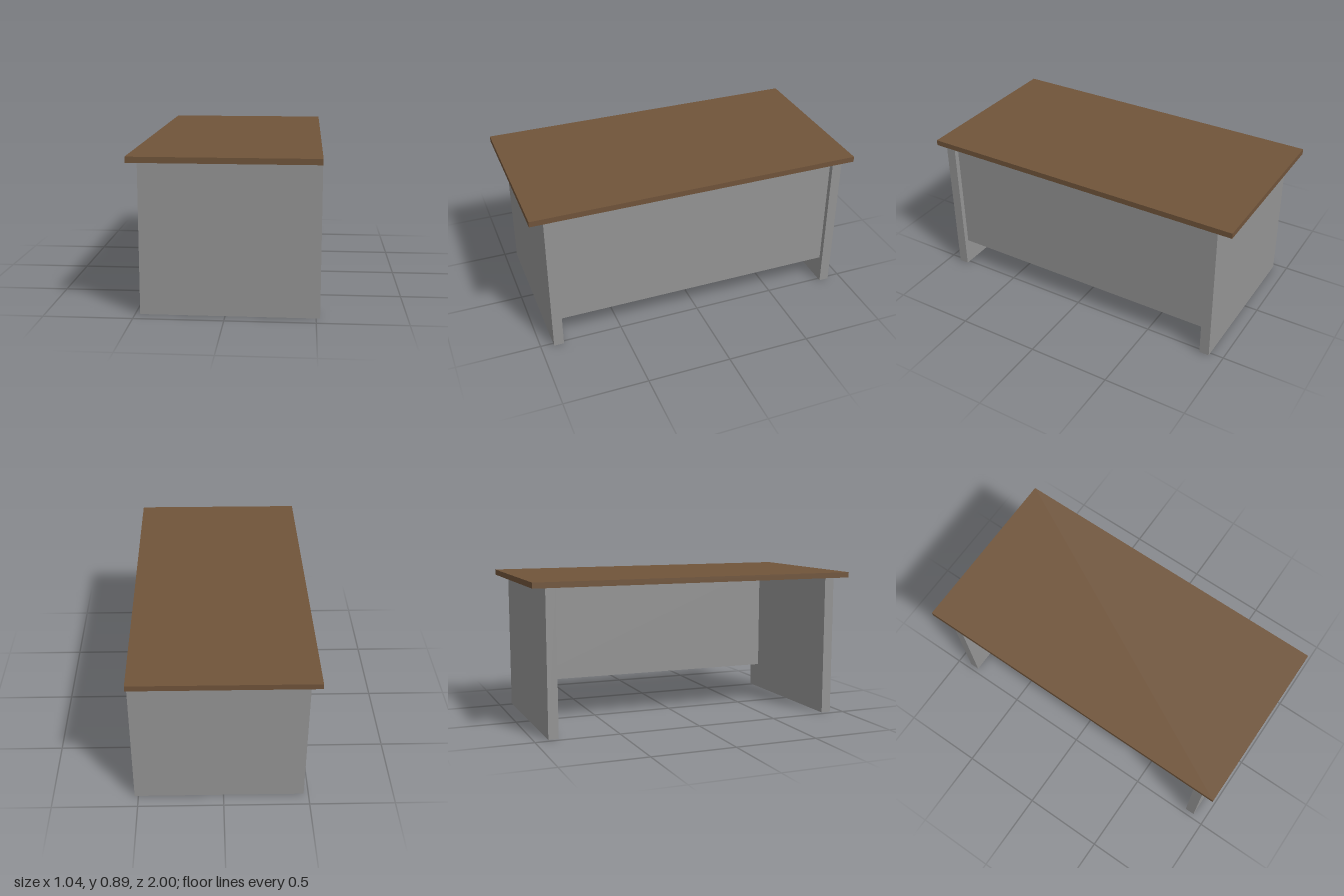
import * as THREE from 'three';

const wood = new THREE.MeshStandardMaterial({ color: 0x70543a });
wood.name = 'brownWood';
const grey = new THREE.MeshStandardMaterial({ color: 0x949494 });
grey.name = 'greyPanel';

// Box given by its lower and upper limits on each axis
function slab(name, material, [x0, x1], [y0, y1], [z0, z1]) {
  const mesh = new THREE.Mesh(new THREE.BoxGeometry(x1 - x0, y1 - y0, z1 - z0), material);
  mesh.position.set((x0 + x1) / 2, (y0 + y1) / 2, (z0 + z1) / 2);
  mesh.name = name;
  return mesh;
}

export function createModel() {
  const desk = new THREE.Group();
  desk.name = 'desk';
  const underside = 0.861;

  // Overhanging desktop
  desk.add(slab('desktop', wood, [-0.522, 0.522], [underside, 0.894], [-1, 1]));

  // Full-depth panel legs, flush with the +x edge of the desktop
  desk.add(slab('frontLeg', grey, [-0.472, 0.522], [0, underside], [0.863, 0.923]));
  desk.add(slab('backLeg', grey, [-0.472, 0.522], [0, underside], [-0.917, -0.857]));

  // Modesty panel, set slightly back between the legs
  desk.add(slab('modestyPanel', grey, [0.405, 0.492], [0.165, underside], [-0.857, 0.863]));

  return desk;
}
